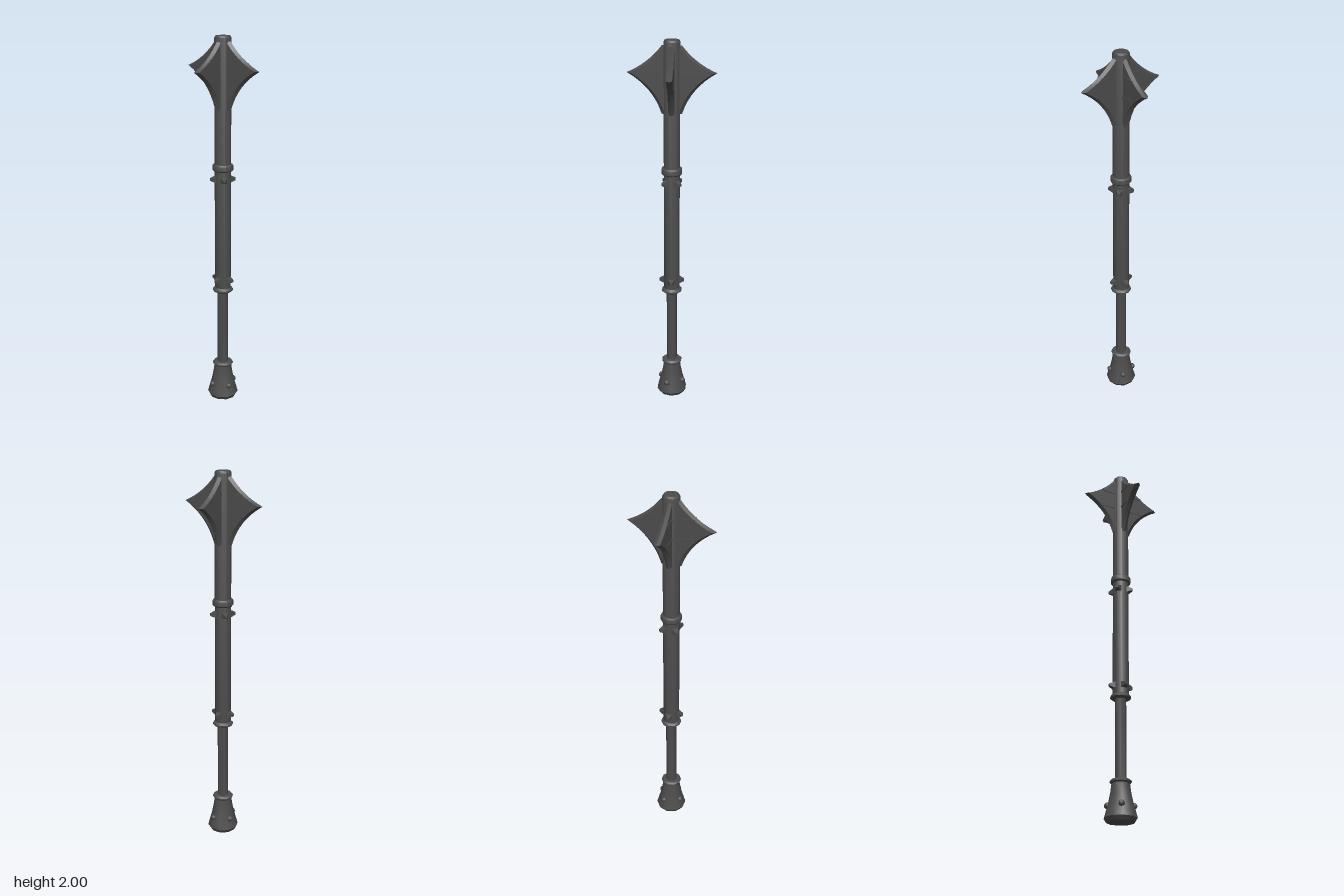
import * as THREE from 'three';
import { toCreasedNormals } from 'three/addons/utils/BufferGeometryUtils.js';

const iron = new THREE.MeshStandardMaterial({ color: 0x4c4c4c });
iron.name = 'darkIron';

function part(parent, name, geometry) {
  const mesh = new THREE.Mesh(geometry, iron);
  mesh.name = name;
  parent.add(mesh);
  return mesh;
}

// Ten-sided turned part from [radius, height] pairs
function turned(profile) {
  const points = profile.map(([r, y]) => new THREE.Vector2(r, y));
  return toCreasedNormals(new THREE.LatheGeometry(points, 10, Math.PI / 2), 0.66);
}

// Blade pointing along +x: concave outline, bevelled to a sharp rim
function flangeGeometry() {
  const tip = new THREE.Vector2(0.226, 1.838);
  const lower = new THREE.QuadraticBezierCurve(
    new THREE.Vector2(0.052, 1.63), new THREE.Vector2(0.095, 1.765), tip);
  const upper = new THREE.QuadraticBezierCurve(
    tip, new THREE.Vector2(0.12, 1.882), new THREE.Vector2(0.05, 1.972));
  const outline = [...lower.getPoints(8), ...upper.getPoints(8).slice(1)];
  const t = 0.0155;
  const pos = [], idx = [];
  for (const { x, y } of outline) {
    const shoulder = x - 0.018;
    pos.push(0, y, t, shoulder, y, t, x, y, 0, shoulder, y, -t, 0, y, -t);
  }
  for (let i = 0; i < outline.length - 1; i++) {
    for (let j = 0; j < 4; j++) {
      const a = i * 5 + j, b = a + 1, c = a + 5, d = a + 6;
      idx.push(a, b, d, a, d, c);
    }
  }
  // End caps
  const last = (outline.length - 1) * 5;
  for (let j = 1; j < 4; j++) {
    idx.push(0, j + 1, j, last, last + j, last + j + 1);
  }
  const geo = new THREE.BufferGeometry();
  geo.setAttribute('position', new THREE.Float32BufferAttribute(pos, 3));
  geo.setIndex(idx);
  return toCreasedNormals(geo, 0.4);
}

// Square stud with a blunt point, pointing along +x
function studGeometry() {
  const geo = new THREE.CylinderGeometry(0.009, 0.025, 0.03, 4).toNonIndexed();
  geo.rotateY(Math.PI / 4);
  geo.rotateZ(-Math.PI / 2);
  geo.computeVertexNormals();
  return geo;
}

export function createModel() {
  const mace = new THREE.Group();
  mace.name = 'mace';

  part(mace, 'pommel', turned([
    [0, 0], [0.072, 0], [0.084, 0.02], [0.076, 0.05], [0.062, 0.1],
    [0.052, 0.15], [0.046, 0.195], [0, 0.195],
  ]));
  part(mace, 'pommelRing', turned([
    [0, 0.19], [0.048, 0.19], [0.056, 0.197], [0.056, 0.203], [0.046, 0.212], [0, 0.212],
  ]));
  part(mace, 'grip', turned([[0.029, 0.2], [0.029, 0.645]]));
  part(mace, 'gripRing', turned([
    [0, 0.632], [0.046, 0.632], [0.055, 0.639], [0.055, 0.647], [0.044, 0.658], [0, 0.658],
  ]));
  part(mace, 'shaft', turned([
    [0, 0.65], [0.043, 0.65], [0.043, 1.99], [0.037, 2], [0, 2],
  ]));
  part(mace, 'collar', turned([
    [0.042, 1.308], [0.05, 1.308], [0.055, 1.314], [0.055, 1.338], [0.05, 1.345], [0.042, 1.345],
  ]));

  const flange = flangeGeometry();
  const stud = studGeometry();
  const rivet = new THREE.SphereGeometry(0.016, 10, 8);
  const rib = new THREE.BoxGeometry(0.08, 0.012, 0.038);

  for (let i = 0; i < 4; i++) {
    const quarter = new THREE.Group();
    quarter.name = 'quarter' + (i + 1);
    quarter.rotation.y = i * Math.PI / 2;
    mace.add(quarter);

    part(quarter, 'flange', flange);
    // Raised ribs across both faces of the blade
    for (const y of [1.785, 1.885]) {
      part(quarter, 'flangeRib', rib).position.set(0.08, y, 0);
    }
    part(quarter, 'lowerStud', stud).position.set(0.052, 0.703, 0);

    // Upper studs sit between the flanges
    const diagonal = new THREE.Group();
    diagonal.name = 'upperStudMount';
    diagonal.rotation.y = Math.PI / 4;
    quarter.add(diagonal);
    part(diagonal, 'upperStud', stud).position.set(0.052, 1.263, 0);

    part(quarter, 'pommelRivet', rivet).position.set(0.061, 0.08, 0.025);
  }
  return mace;
}
